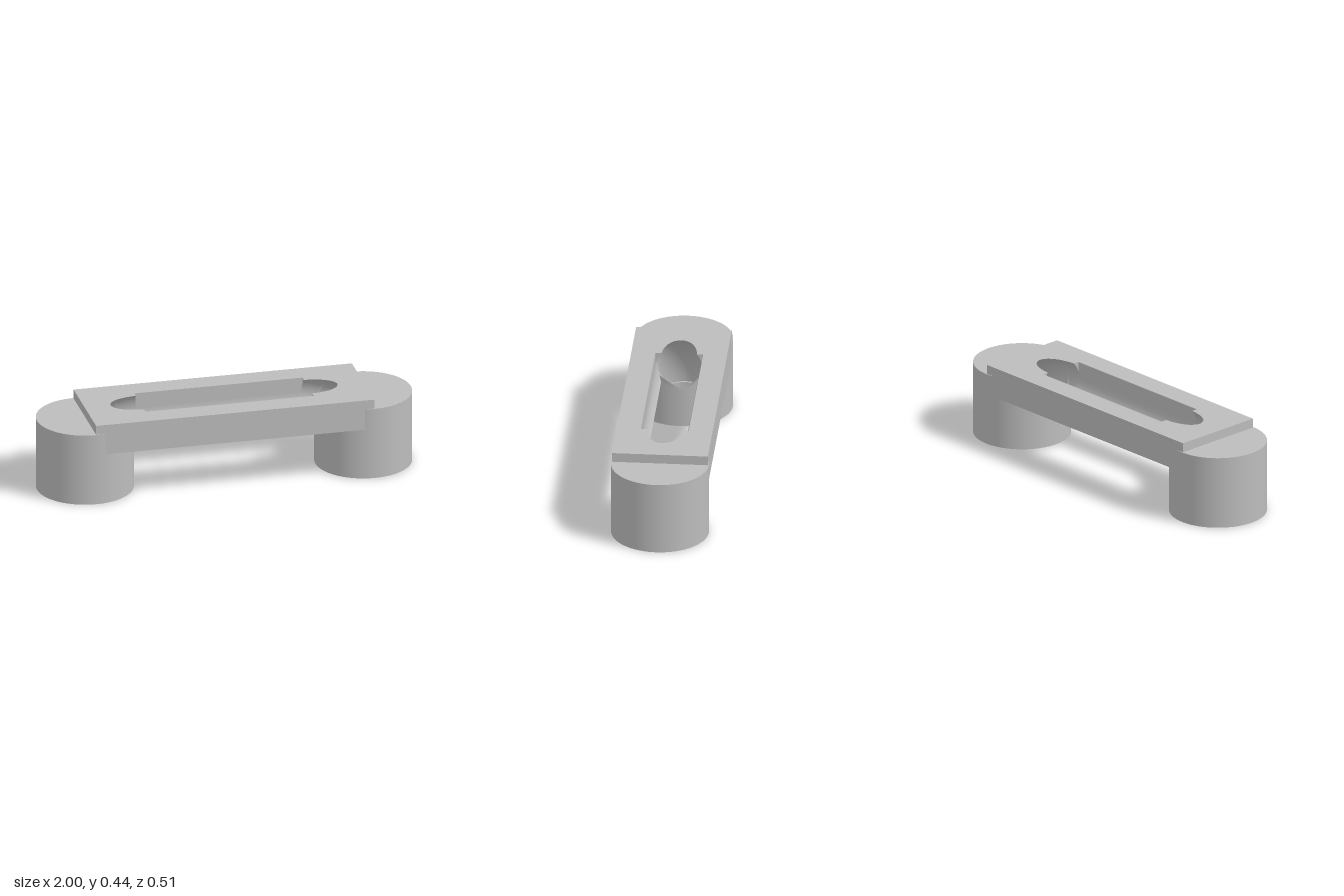
import * as THREE from 'three';

// Main dimensions
const POST_X = 0.745, POST_R = 0.255, POST_TOP = 0.39;
const BAR_X = 0.745, BAR_Z = 0.25, BAR_LOW = 0.275, BAR_TOP = 0.44;
const BORE_R = 0.125, BORE_Y = 0.3575, BEND_R = 0.33; // bore radius, height, elbow radius
const CX = POST_X - BEND_R, CY = BORE_Y - BEND_R;     // elbow centre
const SLOT_X = 0.45, SEAT_Y = 0.075, SEAT_R = 0.14;

// Half width of the bore where it crosses height y at position x
function boreWidth(x, y) {
  const rho = Math.hypot(Math.max(0, Math.abs(x) - CX), y - CY);
  return Math.sqrt(Math.max(0, BORE_R ** 2 - (rho - BEND_R) ** 2));
}

// Smooth surface from a rule f(u, v) -> [x, y, z]
function grid(nu, nv, f) {
  const pos = [], idx = [];
  for (let i = 0; i <= nu; i++) for (let j = 0; j <= nv; j++) pos.push(...f(i / nu, j / nv));
  for (let i = 0; i < nu; i++) for (let j = 0; j < nv; j++) {
    const a = i * (nv + 1) + j, b = a + nv + 1;
    idx.push(a, b, a + 1, b, b + 1, a + 1);
  }
  const g = new THREE.BufferGeometry();
  g.setAttribute('position', new THREE.Float32BufferAttribute(pos, 3));
  g.setIndex(idx);
  g.computeVertexNormals();
  return g;
}

const v2 = (x, y) => new THREE.Vector2(x, y);
const flat = (shape, y, up = true) =>
  new THREE.ShapeGeometry(shape, 48).rotateX(up ? -Math.PI / 2 : Math.PI / 2).translate(0, y, 0);

export function createModel() {
  const model = new THREE.Group();
  const grey = new THREE.MeshStandardMaterial({ color: 0xbcbcbc, side: THREE.DoubleSide });
  grey.name = 'grey metal';
  const add = (parent, name, geo) => {
    const m = new THREE.Mesh(geo, grey);
    m.name = name;
    parent.add(m);
    return m;
  };

  // Bar: top face with a slot whose ends taper into the bore
  const bar = new THREE.Group();
  bar.name = 'bar';
  model.add(bar);
  const top = new THREE.Shape([v2(-BAR_X, -BAR_Z), v2(BAR_X, -BAR_Z), v2(BAR_X, BAR_Z), v2(-BAR_X, BAR_Z)]);
  const tip = CX + Math.sqrt((BEND_R + BORE_R) ** 2 - (BAR_TOP - CY) ** 2);
  const quarter = [v2(SLOT_X, BORE_R)];
  for (let i = 0; i < 24; i++) {
    const x = SLOT_X + (tip - SLOT_X) * Math.sin((i / 24) * Math.PI / 2);
    quarter.push(v2(x, boreWidth(x, BAR_TOP)));
  }
  const back = [...quarter].reverse();
  top.holes.push(new THREE.Path([
    ...quarter, v2(tip, 0), ...back.map(p => v2(p.x, -p.y)),
    ...quarter.map(p => v2(-p.x, -p.y)), v2(-tip, 0), ...back.map(p => v2(-p.x, p.y)),
  ]));
  add(bar, 'barTop', flat(top, BAR_TOP));

  // Bar sides, ends, undersides and slot walls
  for (const s of [1, -1]) {
    const turn = s > 0 ? 0 : Math.PI;
    add(bar, 'barSide', new THREE.PlaneGeometry(2 * BAR_X, BAR_TOP - BAR_LOW)
      .translate(0, (BAR_TOP + BAR_LOW) / 2, BAR_Z).rotateY(turn));
    add(bar, 'barEnd', new THREE.PlaneGeometry(2 * BAR_Z, BAR_TOP - POST_TOP)
      .rotateY(Math.PI / 2).translate(BAR_X, (BAR_TOP + POST_TOP) / 2, 0).rotateY(turn));
    const rail = [v2(-0.7, BAR_Z), v2(0.7, BAR_Z)];
    for (let i = 0; i <= 56; i++) {
      const x = 0.7 - i * 0.025;
      rail.push(v2(x, boreWidth(x, BAR_LOW)));
    }
    add(bar, 'railUnderside', flat(new THREE.Shape(rail), BAR_LOW, false).rotateY(turn));
    add(bar, 'slotWall', grid(1, 16, (u, v) => {
      const y = BAR_TOP + (BAR_LOW - BAR_TOP) * v;
      const z = y > BORE_Y ? BORE_R : Math.sqrt(BORE_R ** 2 - (y - BORE_Y) ** 2);
      return [SLOT_X * (2 * u - 1), y, s * z];
    }));
  }

  // Both ends share the same parts, turned half way round
  for (const s of [1, -1]) {
    const end = new THREE.Group();
    end.name = s > 0 ? 'leftEnd' : 'rightEnd';
    end.rotation.y = s > 0 ? 0 : Math.PI;
    model.add(end);

    // Post wall, trimmed beneath the bar and around the bore
    const wall = new THREE.CylinderGeometry(POST_R, POST_R, POST_TOP, 160, 1, true)
      .translate(POST_X, POST_TOP / 2, 0);
    const p = wall.attributes.position;
    for (let i = 0; i < p.count; i++) {
      const x = p.getX(i), z = p.getZ(i);
      if (p.getY(i) < 0.1 || x >= POST_X - 0.001 || Math.abs(z) > BAR_Z) continue;
      let y = BAR_LOW;
      if (Math.abs(z) < BORE_R) {
        const rho = BEND_R - Math.sqrt(BORE_R ** 2 - z * z);
        y = Math.min(y, CY + Math.sqrt(Math.max(0, rho ** 2 - (x - CX) ** 2)));
      }
      p.setY(i, y);
    }
    add(end, 'postWall', wall);

    // Post cap, bottom ring and stepped port
    const cap = new THREE.Shape();
    cap.absarc(0, 0, POST_R, -Math.PI / 2 - 0.2, Math.PI / 2 + 0.2, false);
    add(end, 'postCap', flat(cap, POST_TOP).translate(POST_X, 0, 0));
    add(end, 'postBottom', new THREE.RingGeometry(SEAT_R, POST_R, 96)
      .rotateX(Math.PI / 2).translate(POST_X, 0, 0));
    add(end, 'portWall', new THREE.CylinderGeometry(SEAT_R, SEAT_R, SEAT_Y, 64, 1, true)
      .translate(POST_X, SEAT_Y / 2, 0));
    add(end, 'portSeat', new THREE.RingGeometry(0.112, SEAT_R, 64)
      .rotateX(Math.PI / 2).translate(POST_X, SEAT_Y, 0));

    // Elbow bore from slot down into the post, open where it leaves the solid
    const point = (t, a, side) => {
      const rho = BEND_R + BORE_R * Math.cos(a);
      return [CX + rho * Math.sin(t), CY + rho * Math.cos(t), side * BORE_R * Math.sin(a)];
    };
    const t0 = Math.asin((SLOT_X - CX) / (BEND_R + BORE_R - 0.03));
    for (const side of [1, -1]) {
      add(end, 'elbowBore', grid(64, 32, (u, v) => {
        const t = t0 + (Math.PI / 2 - t0) * u;
        const c = ((BAR_TOP - CY) / Math.max(1e-6, Math.cos(t)) - BEND_R) / BORE_R;
        const a0 = Math.acos(Math.min(1, c));
        let a1 = Math.PI;
        for (; a1 > a0; a1 -= 0.01) {
          const [x, y, z] = point(t, a1, 1);
          if (y >= BAR_LOW || Math.hypot(x - POST_X, z) <= POST_R) break;
        }
        const q = point(t, a0 + (a1 - a0) * v, side);
        q[1] = Math.max(q[1], SEAT_Y);
        return q;
      }));
    }

    // Shoulder where the wide slot meets the narrower bore
    for (const side of [1, -1]) {
      add(end, 'slotShoulder', grid(12, 1, (u, v) => {
        const y = BORE_Y + (BAR_TOP - BORE_Y) * u;
        return [SLOT_X, y, side * (v ? BORE_R : boreWidth(SLOT_X, y))];
      }));
    }
  }
  return model;
}
